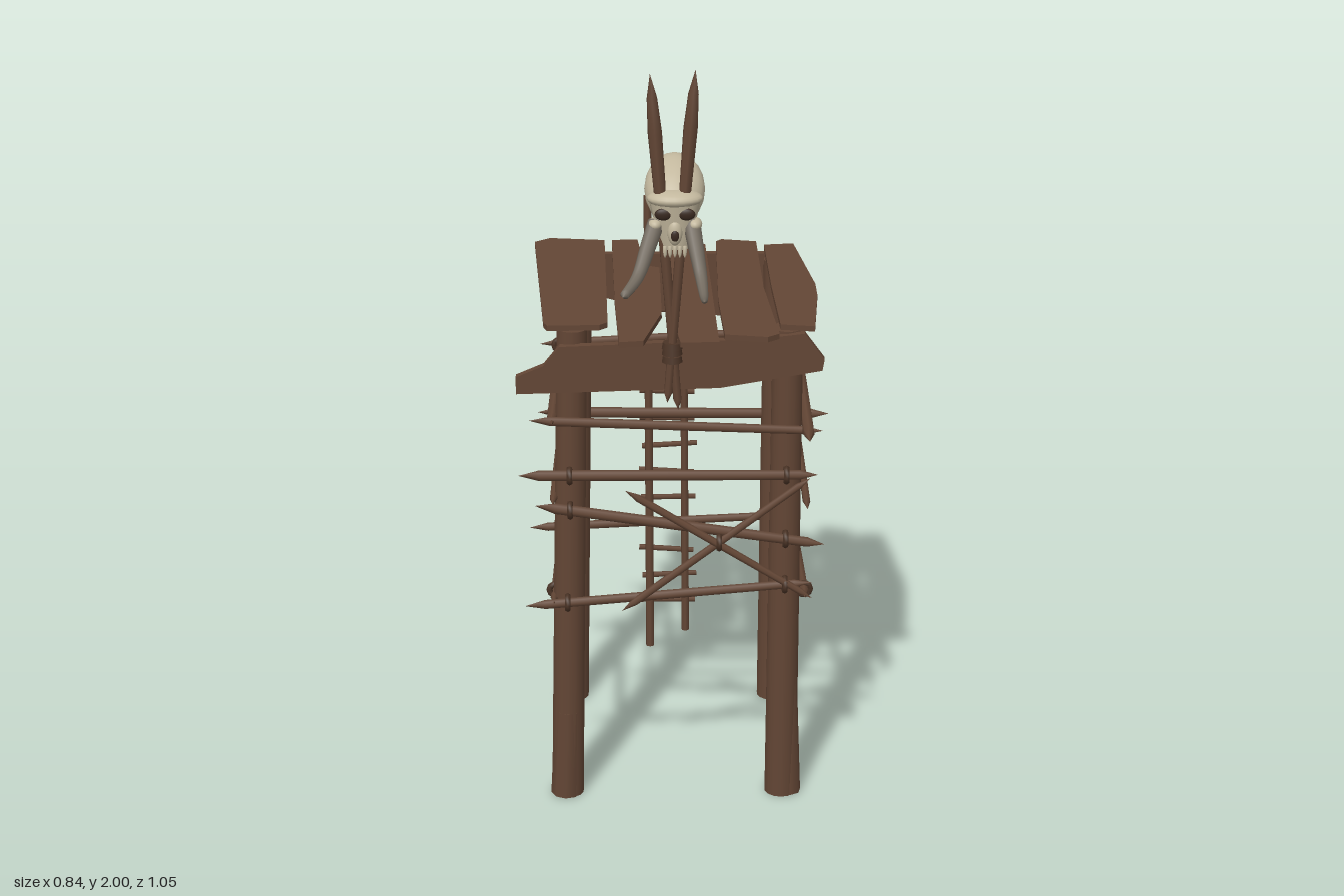
import * as THREE from 'three';

const V = (x, y, z) => new THREE.Vector3(x, y, z);
const UP = V(0, 1, 0);
const material = (name, color) => Object.assign(new THREE.MeshStandardMaterial({ color }), { name });

export function createModel() {
  const wood = material('wood', 0x634635);
  const lashingBrown = material('lashing brown', 0x4b3426);
  const bone = material('bone', 0xc2b79d);
  const tuskGrey = material('tusk grey', 0x736b60);
  const socketDark = material('socket dark', 0x38281f);
  const model = new THREE.Group();
  model.name = 'watchtower';

  const add = (name, geometry, mat, parent = model) => {
    const mesh = new THREE.Mesh(geometry, mat);
    mesh.name = name;
    parent.add(mesh);
    return mesh;
  };
  const group = (name) => {
    const g = new THREE.Group();
    g.name = name;
    model.add(g);
    return g;
  };
  // Round piece between two points; profile is [radius factor, fraction of length]
  const rod = (name, a, b, r, profile, parent, sides = 7, mat = wood) => {
    const length = a.distanceTo(b);
    const pts = profile.map(([f, t]) => new THREE.Vector2(f * r, t * length));
    const mesh = add(name, new THREE.LatheGeometry(pts, sides), mat, parent);
    mesh.position.copy(a);
    mesh.quaternion.setFromUnitVectors(UP, b.clone().sub(a).normalize());
    return mesh;
  };
  const BLUNT = [[0, 0], [1, 0], [1, 0], [0.9, 1], [0.9, 1], [0, 1]];
  const POINTED = [[0, 0], [1, 0.07], [1, 0.5], [0.9, 0.94], [0, 1]];
  const STAKE = [[0, 0], [0.65, 0.03], [0.8, 0.5], [1.1, 0.83], [0.8, 0.93], [0, 1]];
  // Flat board cut from an outline
  const board = (name, outline, depth, parent) => {
    const shape = new THREE.Shape(outline.map(([x, y]) => new THREE.Vector2(x, y)));
    return add(name, new THREE.ExtrudeGeometry(shape, { depth, bevelEnabled: false }), wood, parent);
  };
  const ellipsoid = (name, p, s, mat, parent, tilt = 0) => {
    const mesh = add(name, new THREE.SphereGeometry(1, 20, 14), mat, parent);
    mesh.position.set(...p);
    mesh.scale.set(...s);
    mesh.rotation.x = tilt;
    return mesh;
  };

  // Four corner posts, leaning slightly inwards
  const posts = group('posts');
  for (const [x0, z0, x1, z1] of [
    [-0.3, 0.16, -0.27, 0.17], [0.27, 0.16, 0.27, 0.17],
    [-0.3, -0.395, -0.27, -0.385], [0.27, -0.395, 0.27, -0.385],
  ]) rod('post', V(x0, 0, z0), V(x1, 1.318, z1), 0.043, BLUNT, posts, 14);
  // Splints bound to the feet of the front posts
  rod('postSplint', V(0.294, 0, 0.165), V(0.275, 0.55, 0.175), 0.03, [[0, 0], [1, 0], [1, 0], [0.9, 0.7], [0, 1]], posts);
  rod('postSplint', V(-0.305, 0, 0.168), V(-0.295, 0.25, 0.17), 0.04, BLUNT, posts, 9);

  // Deck planks, outlines in x and z
  const deck = group('deck');
  [
    [[-0.39, -0.49], [-0.35, -0.525], [-0.2, -0.505], [-0.18, 0.18], [-0.2, 0.2], [-0.33, 0.205], [-0.34, 0.18]],
    [[-0.18, -0.515], [-0.11, -0.52], [-0.09, -0.29], [-0.05, -0.27], [-0.045, 0.1], [-0.09, 0.31], [-0.15, 0.32], [-0.165, 0]],
    [[-0.02, -0.465], [0.075, -0.465], [0.095, 0.33], [0, 0.33], [-0.032, 0]],
    [[0.105, -0.5], [0.12, -0.52], [0.215, -0.5], [0.22, -0.1], [0.245, 0.26], [0.215, 0.285], [0.11, 0.265], [0.1, 0]],
    [[0.235, -0.46], [0.315, -0.47], [0.355, -0.12], [0.355, -0.03], [0.335, 0.215], [0.25, 0.2], [0.24, -0.1]],
  ].forEach((outline, i) => {
    const plank = board('plank', outline, 0.014, deck);
    plank.rotation.x = Math.PI / 2;
    plank.position.y = 1.335 - (i % 2) * 0.003;
  });

  // Boards under the edges of the deck
  const fascia = group('fasciaBoards');
  board('frontBoard', [[-0.41, 1.16], [0.1, 1.175], [0.3, 1.21], [0.355, 1.22], [0.36, 1.25], [0.31, 1.318],
    [0.2, 1.305], [-0.3, 1.285], [-0.34, 1.235], [-0.41, 1.205]], 0.022, fascia).position.z = 0.2;
  board('backBoard', [[-0.37, 1.235], [-0.15, 1.18], [0, 1.15], [0.24, 1.13], [0.31, 1.2], [0.33, 1.24],
    [0.31, 1.318], [-0.37, 1.318]], 0.022, fascia).position.z = -0.455;
  for (const x of [-0.29, 0.27]) {
    const side = board('sideBoard', [[-0.18, 1.17], [0.1, 1.18], [0.4, 1.215], [0.4, 1.318], [-0.18, 1.318]], 0.02, fascia);
    side.rotation.y = Math.PI / 2;
    side.position.x = x;
  }

  // Pointed cross poles on the four faces
  const poles = group('crossPoles');
  const pole = (x0, y0, z0, x1, y1, z1, r = 0.012) =>
    rod('crossPole', V(x0, y0, z0), V(x1, y1, z1), r, POINTED, poles);
  for (const [x0, y0, x1, y1, r] of [
    [-0.38, 1.085, 0.36, 1.055, 0.012], [-0.41, 0.935, 0.35, 0.935, 0.014],
    [-0.37, 0.852, 0.37, 0.742, 0.014], [-0.4, 0.57, 0.34, 0.635, 0.012],
  ]) pole(x0, y0, 0.212, x1, y1, 0.212, r);
  pole(-0.38, 1.055, -0.445, 0.37, 1.095, -0.445);
  pole(-0.39, 0.855, -0.44, 0.42, 0.848, -0.44, 0.015);
  pole(-0.42, 0.502, -0.445, 0.33, 0.54, -0.445);
  // Side poles
  for (const [x, y0, z0, y1, z1, r] of [
    [0.322, 1.065, 0.31, 1.078, -0.5, 0.015], [0.322, 0.865, 0.27, 0.868, -0.52, 0.01], [0.322, 0.605, 0.24, 0.525, -0.49, 0.012],
    [-0.322, 1.085, 0.24, 1.06, -0.49, 0.014], [-0.322, 0.87, 0.25, 0.84, -0.48, 0.01], [-0.325, 0.585, 0.23, 0.53, -0.5, 0.011],
  ]) pole(x, y0, z0, x, y1, z1, r);
  // Crossed braces on the front
  pole(-0.15, 0.56, 0.222, 0.33, 0.93, 0.222, 0.01);
  pole(-0.14, 0.9, 0.228, 0.34, 0.595, 0.222, 0.01);

  // Lashings where poles meet
  const knots = group('lashings');
  const knot = (x, y, z, turn) => {
    const m = add('lashing', new THREE.TorusGeometry(0.017, 0.008, 6, 10), lashingBrown, knots);
    m.position.set(x, y, z);
    m.rotation.y = turn;
  };
  for (const [x, y, z] of [
    [0.1, 0.755, 0.224], [-0.28, 0.935, 0.212], [0.27, 0.935, 0.212], [-0.28, 0.84, 0.212], [0.27, 0.758, 0.212],
    [-0.29, 0.58, 0.212], [0.27, 0.63, 0.212], [0.27, 0.85, -0.44], [-0.29, 0.855, -0.44], [0.27, 0.537, -0.445],
  ]) knot(x, y, z, Math.PI / 2);
  for (const x of [-0.322, 0.322]) {
    knot(x, 1.07, -0.395, 0);
    knot(x, 0.595, 0.165, 0);
  }

  // Ladder at the back
  const ladder = group('ladder');
  rod('ladderRail', V(-0.08, 0.11, -0.488), V(-0.082, 1.46, -0.51), 0.012, BLUNT, ladder);
  rod('ladderRail', V(0.022, 0.16, -0.488), V(0.016, 1.36, -0.508), 0.011, BLUNT, ladder);
  for (let i = 0; i < 13; i++) {
    const y = 0.25 + i * 0.08, z = -0.502 - i * 0.0013, skew = 0.005 * Math.sin(i * 2.3);
    rod('ladderRung', V(-0.105 + skew, y - skew, z), V(0.05 + skew, y + skew, z), 0.008, BLUNT, ladder, 6);
  }

  // Two crossing stakes that carry the skull
  const stakes = group('skullStakes');
  rod('stake', V(-0.005, 1.14, 0.28), V(-0.072, 1.99, 0.28), 0.016, STAKE, stakes);
  rod('stake', V(-0.032, 1.16, 0.284), V(0.036, 2.0, 0.28), 0.016, STAKE, stakes);
  for (const y of [1.275, 1.295, 1.31])
    rod('stakeLashing', V(-0.02, y - 0.008, 0.28), V(-0.02, y + 0.008, 0.28), 0.026, BLUNT, stakes, 9, lashingBrown);
  rod('stakeBracket', V(-0.02, 1.29, 0.19), V(-0.02, 1.29, 0.295), 0.014, BLUNT, stakes);

  // Skull: cranium, brow, tapering face and cheekbones
  const skull = group('skull');
  skull.position.x = -0.013;
  ellipsoid('cranium', [0, 1.69, 0.215], [0.074, 0.058, 0.105], bone, skull, 0.6);
  ellipsoid('brow', [0, 1.684, 0.277], [0.068, 0.022, 0.045], bone, skull);
  const face = add('face', new THREE.CylinderGeometry(0.064, 0.036, 0.125, 16), bone, skull);
  face.position.set(0, 1.622, 0.275);
  face.scale.z = 0.65;
  ellipsoid('nose', [0, 1.605, 0.302], [0.018, 0.032, 0.014], bone, skull);
  ellipsoid('nostril', [0, 1.6, 0.314], [0.01, 0.014, 0.005], socketDark, skull);
  for (const s of [-1, 1]) {
    ellipsoid('eyeSocket', [s * 0.028, 1.652, 0.306], [0.021, 0.015, 0.008], socketDark, skull);
    ellipsoid('cheekbone', [s * 0.048, 1.622, 0.285], [0.018, 0.016, 0.026], bone, skull);
  }
  for (let i = -2; i <= 2; i++)
    rod('tooth', V(i * 0.012, 1.57, 0.296), V(i * 0.012, 1.54, 0.3), 0.006, [[0, 0], [1, 0], [0.8, 0.7], [0, 1]], skull, 6, bone);

  // Curved tusks, tapered along their length; one is broken short
  const tusk = (points, endSize) => {
    const curve = new THREE.CatmullRomCurve3(points.map((p) => V(...p)));
    const rings = 24, sides = 10;
    const geo = new THREE.TubeGeometry(curve, rings, 0.021, sides);
    const pos = geo.attributes.position, v = V(0, 0, 0);
    for (let i = 0; i < pos.count; i++) {
      const ring = Math.floor(i / (sides + 1)), centre = curve.getPointAt(ring / rings);
      const size = ring === rings ? 0.01 : 1 - (1 - endSize) * Math.pow(ring / rings, 1.4);
      v.fromBufferAttribute(pos, i).sub(centre).multiplyScalar(size).add(centre);
      pos.setXYZ(i, v.x, v.y, v.z);
    }
    geo.computeVertexNormals();
    add('tusk', geo, tuskGrey, skull);
  };
  tusk([[-0.045, 1.625, 0.28], [-0.065, 1.575, 0.32], [-0.09, 1.515, 0.37], [-0.125, 1.487, 0.44]], 0.5);
  tusk([[0.04, 1.625, 0.28], [0.05, 1.575, 0.32], [0.062, 1.515, 0.37], [0.068, 1.487, 0.44], [0.068, 1.505, 0.528]], 0.15);

  return model;
}
